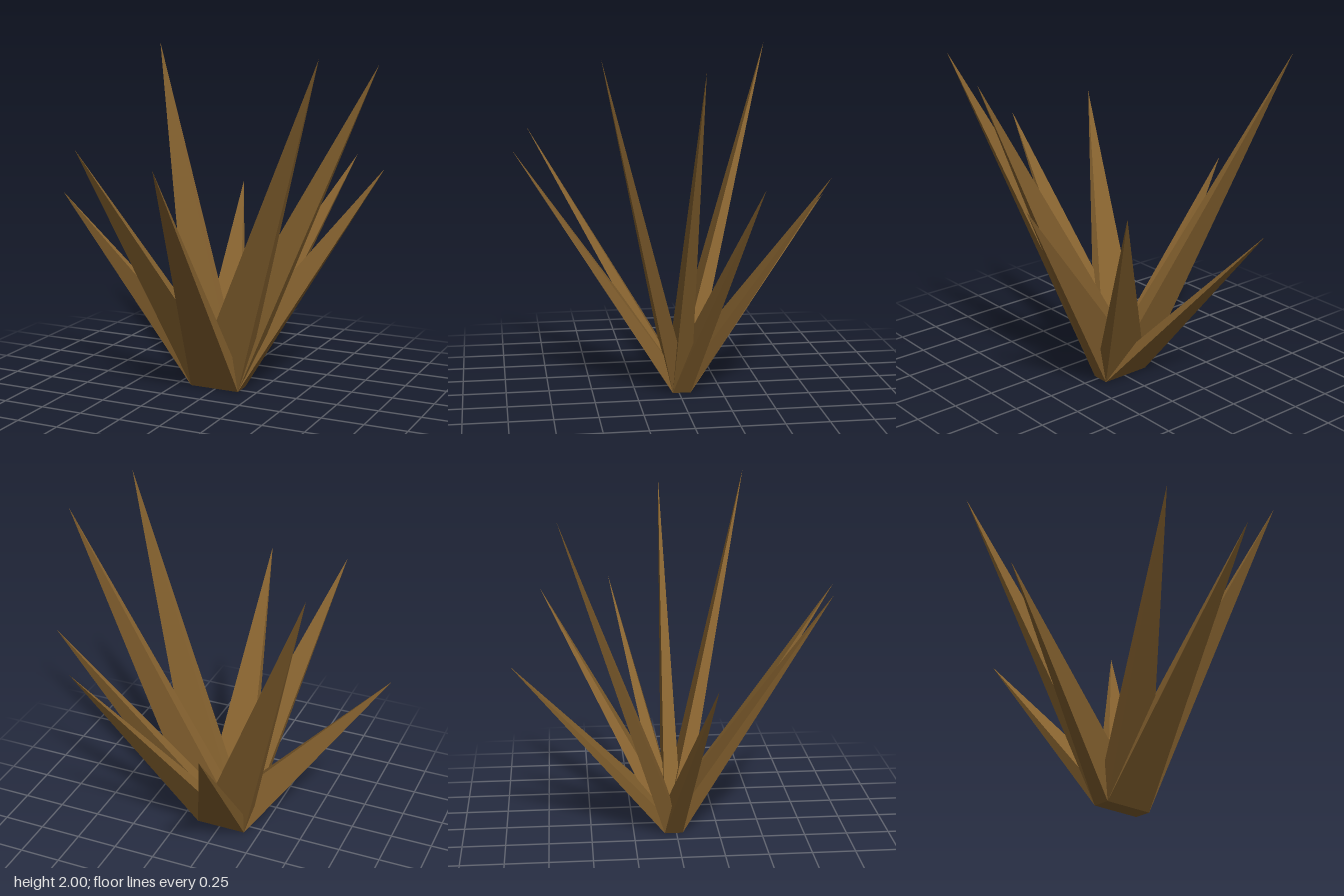
import * as THREE from 'three';

// Shared rectangular foot of all the spikes
const FOOT = { x: -0.008, z: -0.016, width: 0.306, depth: 0.106 };

// Tip of each spike: x, y, z
const TIPS = [
  [0.07, 1.44, 0.935],
  [0.80, 2.0, 0.495],
  [0.95, 1.94, -0.02],
  [0.89, 1.325, -0.345],
  [0.573, 1.33, -0.775],
  [-0.258, 1.085, -0.94],
  [-0.715, 1.98, -0.66],
  [-0.955, 1.135, 0.15],
  [-0.45, 1.505, 0.835],
];

// Four-sided pyramid on the foot, sheared so its apex lands on the tip
function spikeGeometry([x, y, z]) {
  const shear = new THREE.Matrix4().set(
    FOOT.width, x - FOOT.x, 0, FOOT.x,
    0, y, 0, 0,
    0, z - FOOT.z, FOOT.depth, FOOT.z,
    0, 0, 0, 1,
  );
  return new THREE.ConeGeometry(Math.SQRT1_2, 1, 4, 1, true)
    .rotateY(Math.PI / 4)
    .translate(0, 0.5, 0)
    .applyMatrix4(shear);
}

export function createModel() {
  const model = new THREE.Group();
  model.name = 'spikyPlant';

  const brown = new THREE.MeshStandardMaterial({ color: 0x86622f });
  brown.name = 'dryBrown';
  brown.flatShading = true;

  // Fan of leaning spikes
  TIPS.forEach((tip, i) => {
    const spike = new THREE.Mesh(spikeGeometry(tip), brown);
    spike.name = `spike${i + 1}`;
    model.add(spike);
  });

  // Underside closing the foot, facing down
  const underside = new THREE.Mesh(new THREE.PlaneGeometry(FOOT.width, FOOT.depth), brown);
  underside.name = 'underside';
  underside.rotation.x = Math.PI / 2;
  underside.position.set(FOOT.x, 0, FOOT.z);
  model.add(underside);

  return model;
}
